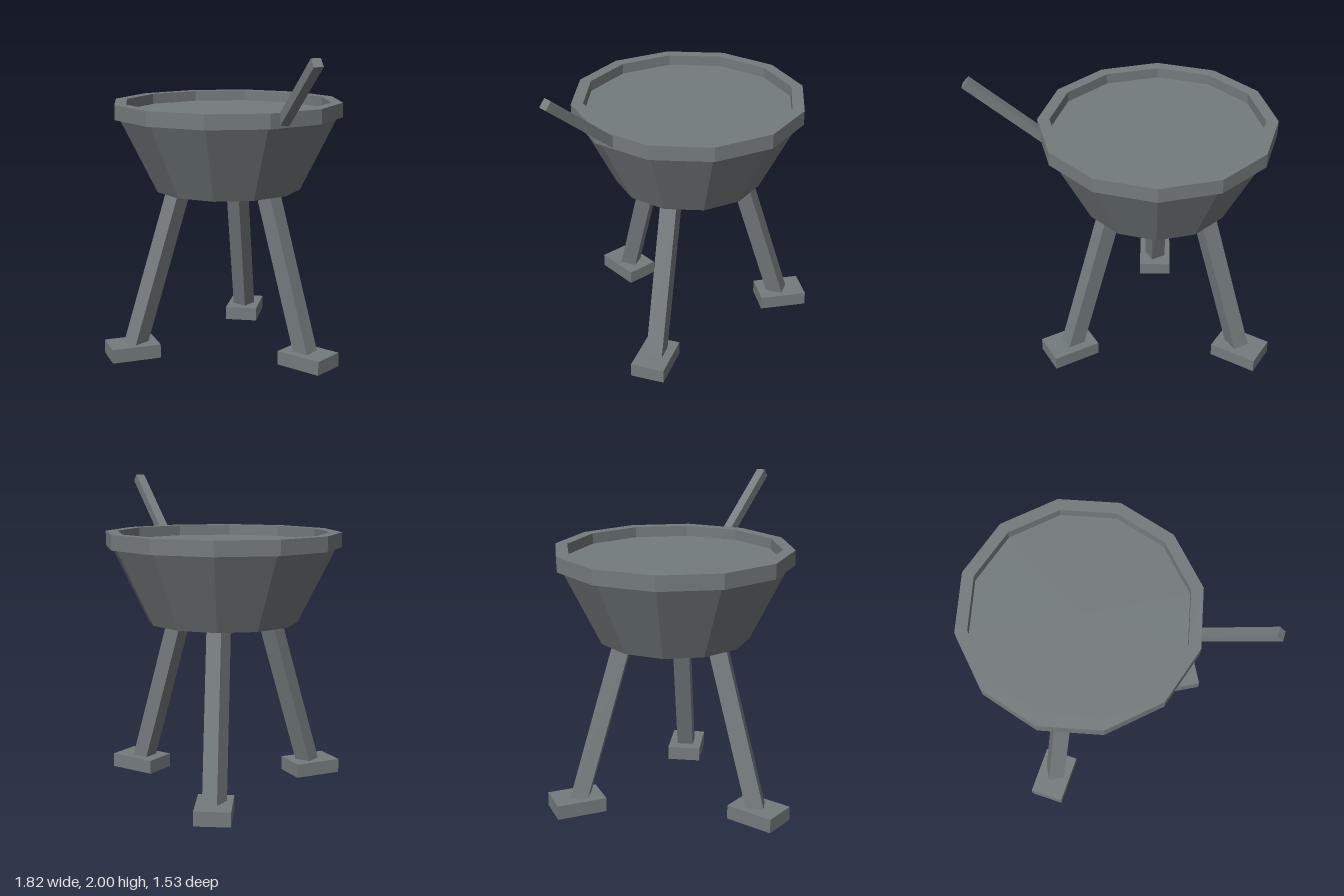
import * as THREE from 'three';

const material = new THREE.MeshStandardMaterial({ color: 0x747b7d, flatShading: true });
const SIDES = 12;
const CENTRE_X = -0.166;

function addMesh(parent, name, geometry, x = 0, y = 0, z = 0) {
  const mesh = new THREE.Mesh(geometry, material);
  mesh.name = name;
  mesh.position.set(x, y, z);
  parent.add(mesh);
  return mesh;
}

export function createModel() {
  const model = new THREE.Group();
  model.name = 'tripodBrazier';

  // Everything but the handle is arranged about the bowl's axis
  const body = new THREE.Group();
  body.name = 'body';
  body.position.x = CENTRE_X;
  model.add(body);

  // Tapered bowl
  addMesh(body, 'bowl', new THREE.CylinderGeometry(0.71, 0.475, 0.475, SIDES), 0, 1.33, 0);

  // Raised rim, a closed rectangular ring
  const rimProfile = [[0.667, 1.567], [0.743, 1.567], [0.743, 1.66], [0.667, 1.66], [0.667, 1.567]]
    .map(([r, y]) => new THREE.Vector2(r, y));
  addMesh(body, 'rim', new THREE.LatheGeometry(rimProfile, SIDES));

  // Surface inside the rim
  addMesh(body, 'bowlSurface', new THREE.CylinderGeometry(0.69, 0.69, 0.02, SIDES), 0, 1.582, 0);

  // Three splayed legs with block feet: the posts lean without turning, the feet face outward
  const lean = 0.297;
  const legLength = 1.2;
  for (let i = 0; i < 3; i++) {
    const angle = (i * Math.PI * 2) / 3;
    const outX = Math.cos(angle);
    const outZ = -Math.sin(angle);
    const leg = new THREE.Group();
    leg.name = `leg${i + 1}`;
    body.add(leg);

    // Post axis, pointing up and inward; the first post ends inside its foot
    const axis = new THREE.Vector3(-outX * Math.sin(lean), Math.cos(lean), -outZ * Math.sin(lean));
    const endY = i === 0 ? 0.04 : 0.0215;
    const endRadius = 0.665 - (endY - 0.0215) * Math.tan(lean);
    const post = addMesh(leg, 'legPost', new THREE.BoxGeometry(0.106, legLength, 0.108),
      outX * endRadius, endY, outZ * endRadius);
    post.position.addScaledVector(axis, legLength / 2);
    post.rotation.set(Math.atan2(axis.z, axis.y), 0, -Math.asin(axis.x));

    const foot = addMesh(leg, 'foot', new THREE.BoxGeometry(0.317, 0.09, 0.22),
      outX * 0.663, 0.065, outZ * 0.663);
    foot.rotation.y = angle;
  }

  // Slanted handle leaning out over the rim
  const handle = new THREE.Group();
  handle.name = 'handle';
  handle.position.set(0.459, 1.575, 0.246);
  handle.rotation.y = -0.503;
  model.add(handle);
  const slope = 0.698;
  const length = 0.624;
  const stick = addMesh(handle, 'handleStick', new THREE.BoxGeometry(length, 0.06, 0.06),
    Math.cos(slope) * length / 2, Math.sin(slope) * length / 2, 0);
  stick.rotation.z = slope;

  return model;
}
